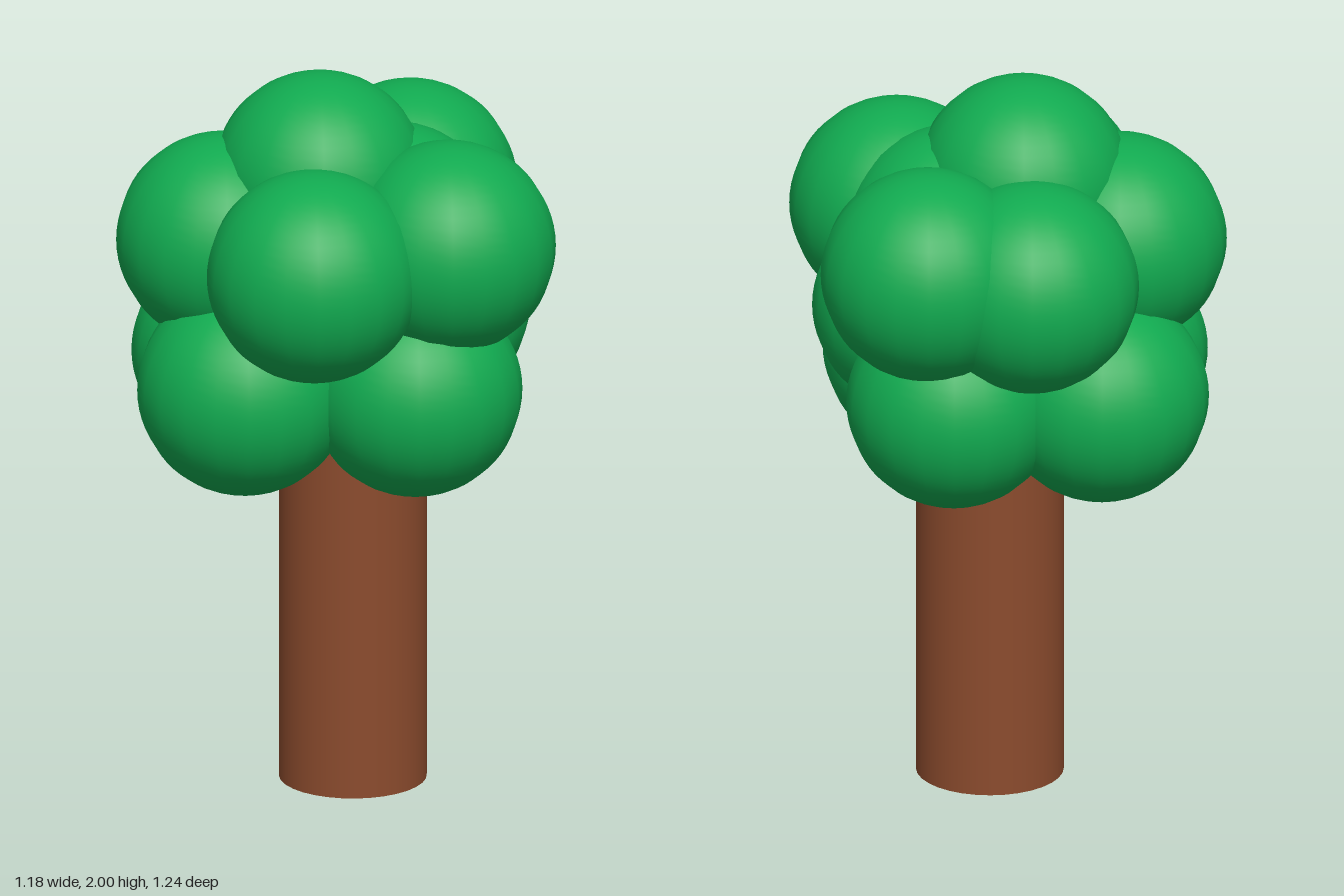
import * as THREE from 'three';

const RADIUS = 0.29;

// Centres of the overlapping leaf clumps, tier by tier
const CLUMPS = {
  lowerLeaves: [[-0.25, 1.16, 0.15], [0.21, 1.16, 0.18], [0.15, 1.16, -0.23], [-0.25, 1.16, -0.19]],
  middleLeaves: [[0.24, 1.35, 0]],
  upperLeaves: [
    [-0.07, 1.54, 0.33], [0.3, 1.57, 0.19], [0.22, 1.57, -0.33],
    [-0.06, 1.53, -0.32], [-0.3, 1.54, 0], [0.16, 1.56, 0],
  ],
  crownLeaves: [[-0.04, 1.71, 0]],
};

export function createModel() {
  const tree = new THREE.Group();
  tree.name = 'tree';

  // Straight round trunk, running up into the foliage
  const bark = new THREE.MeshStandardMaterial({ color: 0x8b4b2d });
  const trunkHeight = 1.2;
  const trunk = new THREE.Mesh(new THREE.CylinderGeometry(0.2, 0.2, trunkHeight, 32), bark);
  trunk.name = 'trunk';
  trunk.position.set(0.05, trunkHeight / 2, -0.005);
  tree.add(trunk);

  // Foliage: equal spheres sharing one geometry
  const leaf = new THREE.MeshStandardMaterial({ color: 0x11aa50 });
  const ball = new THREE.SphereGeometry(RADIUS, 20, 32);
  const foliage = new THREE.Group();
  foliage.name = 'foliage';
  for (const [tier, centres] of Object.entries(CLUMPS)) {
    const group = new THREE.Group();
    group.name = tier;
    for (const centre of centres) {
      const clump = new THREE.Mesh(ball, leaf);
      clump.name = 'leafClump';
      clump.position.set(...centre);
      group.add(clump);
    }
    foliage.add(group);
  }
  tree.add(foliage);

  return tree;
}
